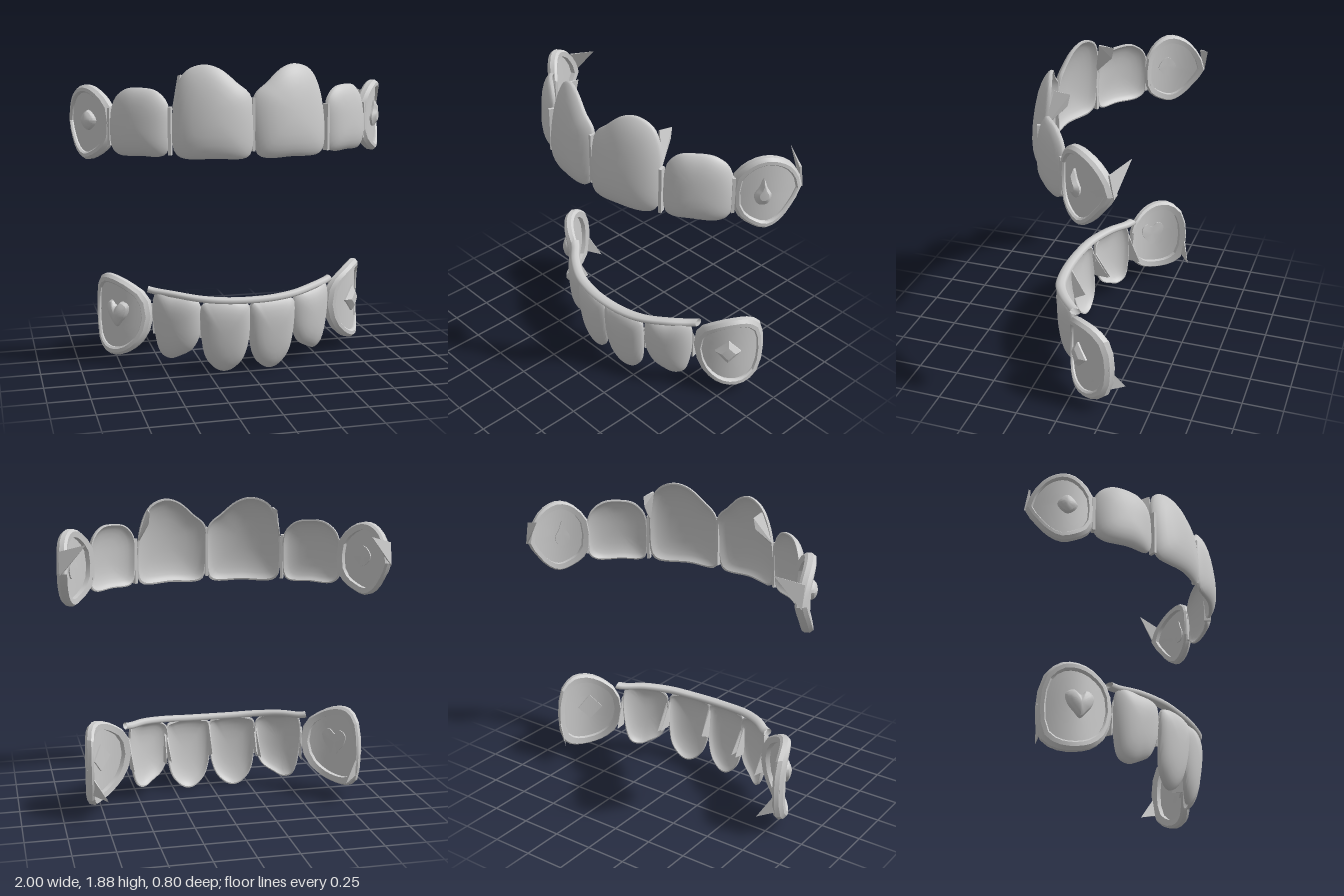
import * as THREE from 'three';
import { toCreasedNormals } from 'three/addons/utils/BufferGeometryUtils.js';
import { ConvexGeometry } from 'three/addons/geometries/ConvexGeometry.js';

const material = new THREE.MeshStandardMaterial({ color: 0xcccccc, side: THREE.DoubleSide });

// A curved sheet standing on the chord a -> b (x, z), bulging outwards and leaning with height.
// Returns point(u, y, d): u along the chord, y height, d offset along the outward normal.
function sheet({ a, b, bulge, lean = 0, leanFrom = 0 }) {
  const dx = b[0] - a[0], dz = b[1] - a[1], len = Math.hypot(dx, dz);
  return (u, y, d) => {
    const out = d + bulge * 4 * u * (1 - u) - lean * (y - leanFrom) ** 2;
    return [a[0] + dx * u - (dz / len) * out, y, a[1] + dz * u + (dx / len) * out];
  };
}

// Closed smooth outline in (u, y)
function smooth(points, n = 56) {
  const curve = new THREE.CatmullRomCurve3(points.map(p => new THREE.Vector3(p[0], p[1], 0)), true, 'centripetal');
  return curve.getSpacedPoints(n).slice(0, n).map(p => [p.x, p.y]);
}

// Loft scaled copies of an outline through a profile of [scale, offset] pairs
function loft(name, point, outline, profile, side, closed = false, crease = 0.6) {
  const ring = outline.map(p => new THREE.Vector2(p[0], p[1]));
  if (THREE.ShapeUtils.isClockWise(ring)) ring.reverse();
  const c = new THREE.Box2().setFromPoints(ring).getCenter(new THREE.Vector2());
  const n = ring.length, pos = [], index = [];
  for (const [s, d] of profile) {
    for (const p of ring) {
      const [x, y, z] = point(c.x + (p.x - c.x) * s, c.y + (p.y - c.y) * s, d);
      pos.push(x * side, y, z);
    }
  }
  const rows = profile.length;
  for (let i = 0; i < (closed ? rows : rows - 1); i++) {
    for (let k = 0; k < n; k++) {
      const k2 = (k + 1) % n, j = (i + 1) % rows;
      const q = [i * n + k, j * n + k, j * n + k2, i * n + k2];
      if (side < 0) q.reverse();
      index.push(q[0], q[1], q[2], q[0], q[2], q[3]);
    }
  }
  const geo = new THREE.BufferGeometry();
  geo.setAttribute('position', new THREE.Float32BufferAttribute(pos, 3));
  geo.setIndex(index);
  const mesh = new THREE.Mesh(toCreasedNormals(geo, crease), material);
  mesh.name = name;
  return mesh;
}

// Domed front, thin rim, hollow back
const steps = [0, 0.25, 0.5, 0.7, 0.82, 0.9, 0.96, 0.99];
const dome = s => 0.04 * (1 - s ** 4) ** 0.75;
const shellProfile = [
  ...steps.map(s => [s, dome(s)]), [1, 0], [1, -0.015], [0.96, -0.018],
  ...steps.slice(0, 6).reverse().map(s => [s, dome(s) - 0.022]),
];
const frameProfile = [[0.8, -0.04], [0.8, 0.01], [0.84, 0.022], [0.93, 0.022], [1, 0.004], [1, -0.025], [0.95, -0.042]];
const panelProfile = [[0, 0], [0.3, 0], [0.6, 0], [0.85, 0], [0.85, -0.012], [0.6, -0.012], [0.3, -0.012], [0, -0.012]];
const cutProfile = [[0, 0.036], [0.55, 0.034], [1, 0.012], [1, -0.02], [0, -0.02]];
const domedProfile = [[0, 0.04], [0.35, 0.037], [0.65, 0.03], [0.88, 0.018], [1, 0], [1, -0.02], [0, -0.02]];

// Gem outlines (unit size), half width, half height and cut
const gems = {
  drop: { shape: smooth([[0, 1], [0.4, 0.35], [0.95, -0.3], [0.65, -0.85], [0, -1], [-0.65, -0.85], [-0.95, -0.3], [-0.4, 0.35]], 24), w: 0.05, h: 0.082, profile: cutProfile },
  round: { shape: smooth([[1, 0], [0, 1], [-1, 0], [0, -1]], 20), w: 0.06, h: 0.062, profile: domedProfile },
  diamond: { shape: [[1, 0], [0, 1], [-1, 0], [0, -1]], w: 0.08, h: 0.085, profile: cutProfile },
  heart: { shape: smooth([[0, 0.6], [0.45, 0.95], [0.95, 0.65], [0.85, 0], [0.4, -0.6], [0, -1], [-0.4, -0.6], [-0.85, 0], [-0.95, 0.65], [-0.45, 0.95]], 36), w: 0.085, h: 0.085, profile: domedProfile },
};

// Teeth with outlines given as (x, y)
const teeth = [
  { name: 'upperCentralTooth', a: [0.005, 0.355], b: [0.465, 0.25], bulge: 0.05, lean: 0.3, leanFrom: 1.36,
    outline: [[0.01, 1.4], [0.03, 1.355], [0.22, 1.345], [0.43, 1.355], [0.46, 1.4], [0.465, 1.58], [0.445, 1.73], [0.4, 1.83], [0.3, 1.88], [0.2, 1.86], [0.1, 1.78], [0.01, 1.68]] },
  { name: 'upperSideTooth', a: [0.485, 0.24], b: [0.795, 0], bulge: 0.03, lean: 0.22, leanFrom: 1.4,
    outline: [[0.488, 1.4], [0.505, 1.36], [0.62, 1.35], [0.75, 1.355], [0.785, 1.4], [0.795, 1.55], [0.775, 1.66], [0.715, 1.73], [0.63, 1.745], [0.54, 1.72], [0.492, 1.64], [0.485, 1.52]] },
  { name: 'lowerCentralTooth', a: [0.003, 0.268], b: [0.295, 0.22], bulge: 0.015, lean: 0.24, leanFrom: 0.46,
    outline: [[0.003, 0.42], [0.005, 0.22], [0.035, 0.1], [0.09, 0.03], [0.155, 0.005], [0.22, 0.035], [0.275, 0.12], [0.295, 0.26], [0.295, 0.42], [0.25, 0.45], [0.05, 0.445]] },
  { name: 'lowerSideTooth', a: [0.297, 0.2], b: [0.562, 0.045], bulge: 0.028, lean: 0.2, leanFrom: 0.48,
    outline: [[0.297, 0.42], [0.3, 0.26], [0.335, 0.16], [0.41, 0.1], [0.475, 0.077], [0.53, 0.12], [0.555, 0.25], [0.562, 0.4], [0.545, 0.485], [0.43, 0.48], [0.32, 0.46]] },
];

// Framed corner teeth with outlines given as (z, y); gem order is left, right
const corners = [
  { name: 'upperCorner', a: [0.785, 0], b: [0.982, -0.345], bulge: 0.052, gem: ['drop', 'round'], gemAt: [-0.135, 1.54],
    outline: [[0, 1.44], [0, 1.61], [-0.06, 1.71], [-0.15, 1.75], [-0.26, 1.7], [-0.32, 1.61], [-0.345, 1.53], [-0.29, 1.42], [-0.23, 1.34], [-0.16, 1.3], [-0.08, 1.33], [-0.025, 1.38]] },
  { name: 'lowerCorner', a: [0.57, 0.035], b: [0.85, -0.285], bulge: 0.08, gem: ['diamond', 'heart'], gemAt: [-0.118, 0.34],
    outline: [[0.035, 0.33], [0.02, 0.45], [-0.04, 0.53], [-0.14, 0.58], [-0.22, 0.565], [-0.27, 0.49], [-0.285, 0.37], [-0.285, 0.25], [-0.265, 0.14], [-0.21, 0.08], [-0.13, 0.07], [-0.05, 0.11], [0.01, 0.2]] },
];

// Pointed blades: two root points, then one or two tips
const blades = [
  ['upperHook', [0.985, 1.645, -0.32], [0.985, 1.51, -0.345], [0.84, 1.69, -0.4]],
  ['lowerHook', [0.855, 0.34, -0.275], [0.84, 0.18, -0.26], [0.74, 0.15, -0.345]],
  ['lowerFin', [0.293, 0.4, 0.21], [0.29, 0.22, 0.19], [0.28, 0.22, 0.09]],
  ['lowerFin', [0.302, 0.4, 0.2], [0.315, 0.2, 0.18], [0.31, 0.21, 0.09]],
  ['lowerFin', [0.56, 0.42, 0.04], [0.553, 0.22, 0.03], [0.54, 0.22, -0.05]],
  ['upperFin', [0.785, 1.62, 0], [0.785, 1.4, 0], [0.77, 1.44, -0.04]],
  ['upperWing', [0.455, 1.62, 0.23], [0.395, 1.82, 0.19], [0.4, 1.81, 0.095], [0.405, 1.74, 0.11]],
];

function blade(name, roots, side) {
  const v = roots.map(p => new THREE.Vector3(p[0] * side, p[1], p[2]));
  const n = new THREE.Triangle(v[0], v[1], v[2]).getNormal(new THREE.Vector3()).multiplyScalar(0.006);
  const pts = [...v.slice(0, 2).flatMap(p => [p.clone().add(n), p.clone().sub(n)]), ...v.slice(2)];
  const mesh = new THREE.Mesh(new ConvexGeometry(pts), material);
  mesh.name = name;
  return mesh;
}

export function createModel() {
  const model = new THREE.Group();
  model.name = 'dentalGrills';
  const upper = new THREE.Group(), lower = new THREE.Group();
  upper.name = 'upperGrill';
  lower.name = 'lowerGrill';
  model.add(upper, lower);
  const add = mesh => (mesh.name.startsWith('upper') ? upper : lower).add(mesh);

  // A thin upright link between neighbouring teeth
  const link = (x, z, y0, y1, w, depth, turn) => {
    const mesh = new THREE.Mesh(new THREE.BoxGeometry(w, y1 - y0, depth), material);
    mesh.position.set(x, (y0 + y1) / 2, z);
    mesh.rotation.y = turn;
    mesh.name = 'upperLink';
    add(mesh);
  };

  for (const side of [1, -1]) {
    for (const t of teeth) {
      const outline = smooth(t.outline.map(([x, y]) => [(x - t.a[0]) / (t.b[0] - t.a[0]), y]));
      add(loft(t.name, sheet(t), outline, shellProfile, side));
    }
    for (const c of corners) {
      const point = sheet(c), toU = z => (z - c.a[1]) / (c.b[1] - c.a[1]);
      const outline = smooth(c.outline.map(([z, y]) => [toU(z), y]), 24);
      add(loft(c.name + 'Frame', point, outline, frameProfile, side, true, 0.4));
      add(loft(c.name + 'Panel', point, outline, panelProfile, side));
      const gem = gems[c.gem[side > 0 ? 0 : 1]];
      const length = Math.hypot(c.b[0] - c.a[0], c.b[1] - c.a[1]);
      const shape = gem.shape.map(([x, y]) => [toU(c.gemAt[0]) + (x * gem.w) / length, c.gemAt[1] + y * gem.h]);
      add(loft(c.name + 'Gem', point, shape, gem.profile, side, false, 0.4));
    }
    for (const [name, ...roots] of blades) add(blade(name, roots, side));
    link(side * 0.476, 0.245, 1.36, 1.64, 0.018, 0.045, side * 0.4);
    link(side * 0.788, 0, 1.4, 1.62, 0.018, 0.04, side * 0.9);
  }

  // Centre link and fin
  link(0, 0.335, 1.38, 1.69, 0.016, 0.04, 0);
  add(blade('lowerFin', [[0, 0.43, 0.26], [0, 0.2, 0.24], [0, 0.24, 0.16]], 1));

  // Bar along the top of the lower teeth, deeper than it is tall
  const half = [[0.585, 0.505, 0.02], [0.55, 0.497, 0.045], [0.45, 0.492, 0.13], [0.3, 0.475, 0.215], [0.15, 0.463, 0.25]];
  const path = [...half.map(([x, y, z]) => [-x, y, z]), [0, 0.46, 0.26], ...half.slice().reverse()];
  const curve = new THREE.CatmullRomCurve3(path.map(([x, y, z]) => new THREE.Vector3(x, y, z / 1.7)));
  const bar = new THREE.Mesh(new THREE.TubeGeometry(curve, 60, 0.021, 8), material);
  bar.geometry.scale(1, 1, 1.7);
  bar.name = 'lowerBar';
  add(bar);
  return model;
}
